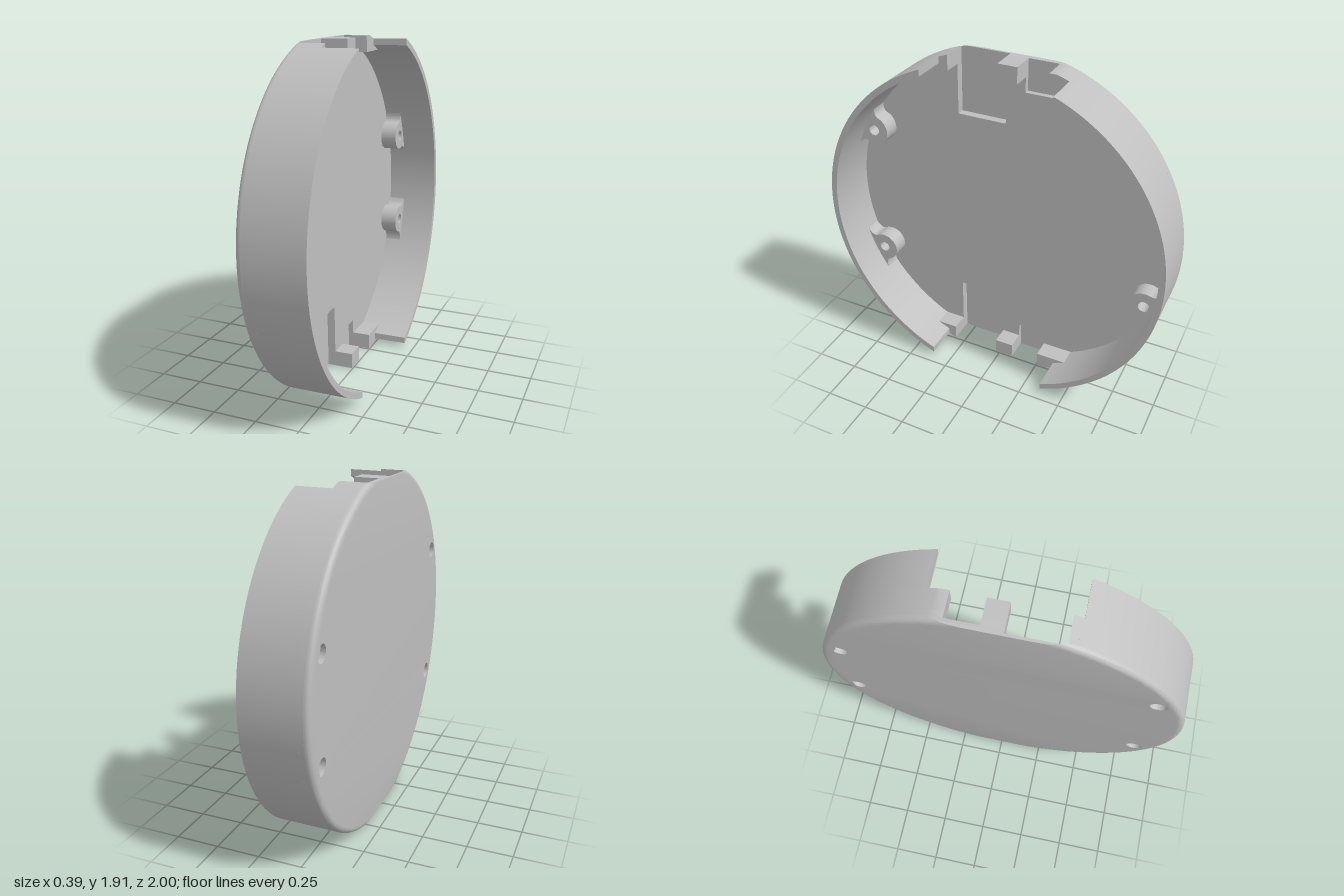
import * as THREE from 'three';
import { toCreasedNormals } from 'three/addons/utils/BufferGeometryUtils.js';

const R = 1, INNER = 0.966, FLAT = 0.955, FILLET = 0.03;
const BACK = -0.1825, FLOOR = -0.122, LEDGE = -0.016, RIM = 0.1825;
const DEEP = -0.168, SHALLOW = -0.152;      // pocket floors
const A = [-0.31, -0.025, 0.58];            // wide pocket: x range, inner end
const B = [0.085, 0.255, 0.78];             // narrow pocket
const SCREWS = [[-0.81, 0.41], [-0.81, -0.4], [0.86, 0.285], [0.86, -0.28]];

// Extrude a shape drawn in the disc plane from depth x0 to x1
function slab(shape, x0, x1, steps = 1) {
  const g = new THREE.ExtrudeGeometry(shape, { depth: x1 - x0, steps, bevelEnabled: false, curveSegments: 32 });
  return g.translate(0, 0, x0);
}

// Round the back edge of the disc, leaving the two flats straight
function roundBack(g) {
  const p = g.attributes.position;
  for (let i = 0; i < p.count; i++) {
    const x = p.getX(i), y = p.getY(i), d = p.getZ(i) - BACK;
    if (d >= FILLET || Math.hypot(x, y) < R - 0.005) continue;
    const r = R - FILLET + Math.sqrt(Math.max(0, FILLET ** 2 - (FILLET - d) ** 2));
    if (Math.abs(y) > FLAT - 0.001) p.setX(i, Math.sign(x) * Math.sqrt(Math.max(0, r * r - y * y)));
    else p.setXY(i, x * r / Math.hypot(x, y), y * r / Math.hypot(x, y));
  }
  return g;
}

const arc = (r, a0, a1, n) => Array.from({ length: n + 1 }, (_, i) => {
  const a = a0 + (a1 - a0) * i / n;
  return new THREE.Vector2(r * Math.cos(a), r * Math.sin(a));
});

// Disc outline with flats; pockets cut in from both flats
function discShape(pockets) {
  const a = Math.asin(FLAT);
  const aL = pockets.includes(A) ? Math.acos(-A[0]) : a;
  const top = [];
  for (const [x0, x1, y] of pockets) {
    top.push([x1, FLAT], [x1, y], [x0, y]);
    if (x0 > -0.297) top.push([x0, FLAT]);
  }
  const edge = top.map(([x, y]) => new THREE.Vector2(x, y));
  const under = edge.map(v => new THREE.Vector2(v.x, -v.y)).reverse();
  const shape = new THREE.Shape([...arc(R, -a, a, 72), ...edge, ...arc(R, Math.PI - aL, Math.PI + aL, 72), ...under]);
  for (const [x, y] of SCREWS) shape.holes.push(new THREE.Path().absarc(x, y, 0.046, 0, Math.PI * 2, true));
  return shape;
}

export function createModel() {
  const grey = new THREE.MeshStandardMaterial({ color: 0xbfbfbf });
  grey.name = 'light grey';
  const model = new THREE.Group();
  model.name = 'roundCover';
  const cover = new THREE.Group();
  cover.name = 'cover';
  model.add(cover);

  const add = (name, g) => {
    const mesh = new THREE.Mesh(toCreasedNormals(g.rotateY(Math.PI / 2), 0.5), grey);
    mesh.name = name;
    cover.add(mesh);
  };

  // Base plate in three layers, so the pockets step down into it
  add('backPlate', roundBack(slab(discShape([]), BACK, DEEP, 4)));
  add('middlePlate', roundBack(slab(discShape([A]), DEEP, SHALLOW, 4)));
  add('floorPlate', slab(discShape([B, A]), SHALLOW, FLOOR));

  // Side walls, open at the top and bottom
  const ao = Math.acos(0.36), ai = Math.acos(0.36 / INNER);
  for (const [name, turn] of [['rearWall', 0], ['frontWall', Math.PI]]) {
    const wall = new THREE.Shape([...arc(R, -ao, ao, 72), ...arc(INNER, ai, -ai, 72)]);
    add(name, slab(wall, FLOOR, RIM).rotateZ(turn));
  }

  // Raised ledge blocks along the flats
  const inner = 0.864;
  for (const s of [1, -1]) {
    const end = s > 0 ? 'top' : 'bottom';
    const block = (name, pts) => add(end + name, slab(new THREE.Shape(pts.map(v => new THREE.Vector2(v.x, v.y * s))), FLOOR, LEDGE));
    const a0 = Math.asin(inner), a1 = Math.asin(FLAT), V = (x, y) => new THREE.Vector2(x, y);
    block('MiddleBlock', [V(A[1], inner), V(B[0], inner), V(B[0], FLAT), V(A[1], FLAT)]);
    block('RearBlock', [V(B[1], inner), ...arc(R, a0, a1, 10), V(B[1], FLAT)]);
    block('FrontBlock', [V(A[0], inner), V(A[0], Math.sqrt(1 - A[0] ** 2)),
      ...arc(R, Math.PI - Math.acos(-A[0]) + 0.001, Math.PI - a0, 10)]);
  }

  // Screw bosses flaring into the wall
  SCREWS.forEach(([x, y], i) => {
    const boss = new THREE.Shape();
    boss.moveTo(0.052, -0.145);
    boss.lineTo(0.075, 0);
    boss.lineTo(0.052, 0.145);
    boss.quadraticCurveTo(0.045, 0.082, 0, 0.087);
    boss.absarc(0, 0, 0.087, Math.PI / 2, Math.PI * 1.5, false);
    boss.quadraticCurveTo(0.045, -0.082, 0.052, -0.145);
    boss.holes.push(new THREE.Path().absarc(0, 0, 0.032, 0, Math.PI * 2, true));
    add('screwBoss' + (i + 1), slab(boss, FLOOR, -0.025).rotateZ(Math.atan2(y, x)).translate(x, y, 0));
  });

  // The cover leans very slightly
  cover.rotation.z = 0.0132;
  cover.position.y = 0.957;
  return model;
}
